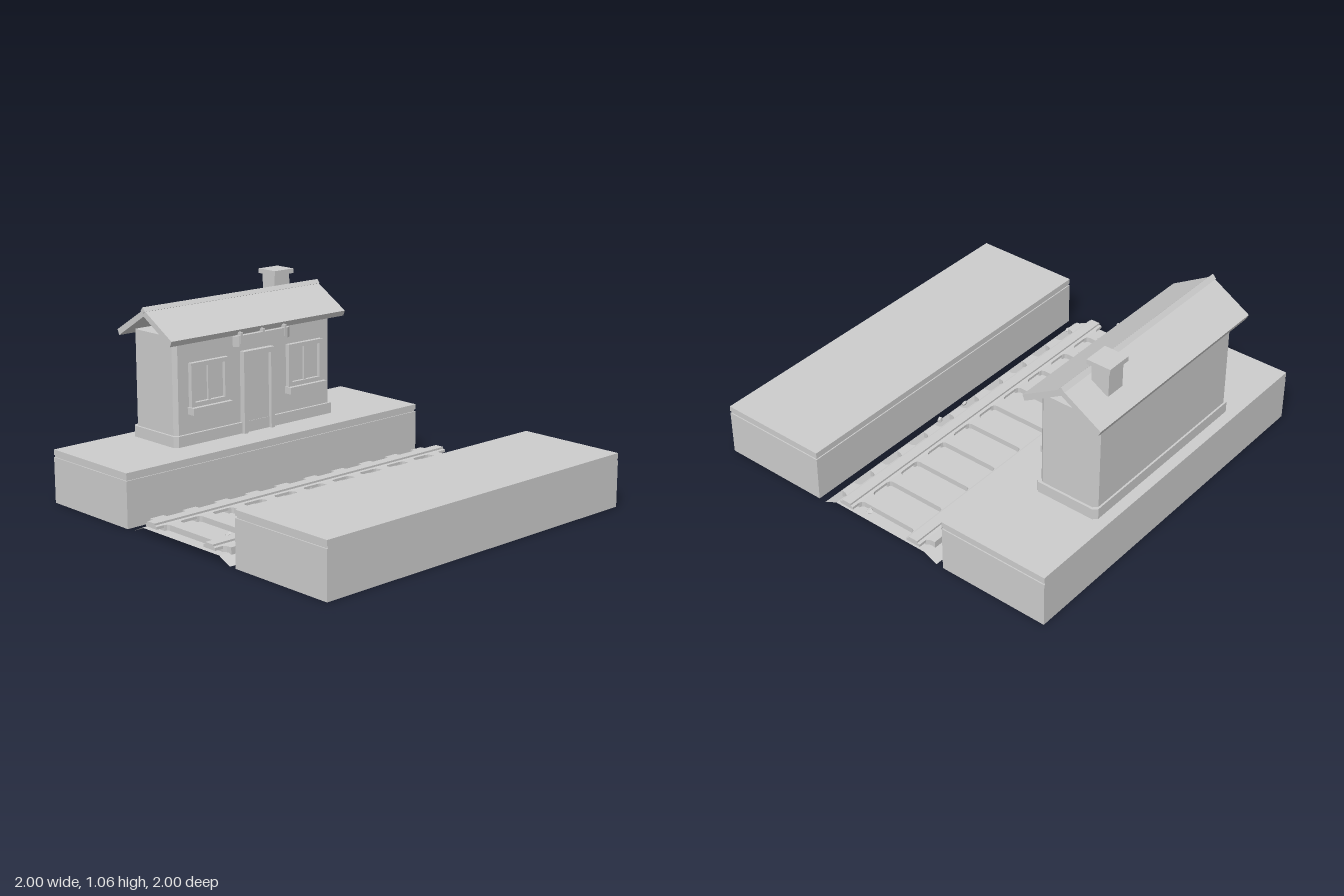
import * as THREE from 'three';

export function createModel() {
  const root = new THREE.Group();
  root.name = 'railwayHalt';
  const grey = new THREE.MeshStandardMaterial({ color: 0xcccccc });
  grey.name = 'plain grey';
  const greySheet = new THREE.MeshStandardMaterial({ color: 0xcccccc, side: THREE.DoubleSide });
  greySheet.name = 'plain grey sheet';

  const add = (name, geo, parent = root, mat = grey) => {
    const m = new THREE.Mesh(geo, mat);
    m.name = name;
    parent.add(m);
    return m;
  };
  const group = (name) => {
    const g = new THREE.Group();
    g.name = name;
    root.add(g);
    return g;
  };
  const box = (name, x0, x1, y0, y1, z0, z1, parent) => {
    const g = new THREE.BoxGeometry(x1 - x0, y1 - y0, z1 - z0);
    g.translate((x0 + x1) / 2, (y0 + y1) / 2, (z0 + z1) / 2);
    return add(name, g, parent);
  };
  // Section of [z, y] points swept along x
  const sweepX = (name, pts, x0, x1, parent) => {
    const s = new THREE.Shape(pts.map(([z, y]) => new THREE.Vector2(-z, y)));
    const g = new THREE.ExtrudeGeometry(s, { depth: x1 - x0, bevelEnabled: false });
    g.rotateY(Math.PI / 2).translate(x0, 0, 0);
    return add(name, g, parent);
  };
  // Plan of [x, z] points raised along y
  const raise = (name, pts, y0, y1, parent) => {
    const s = new THREE.Shape(pts.map(([x, z]) => new THREE.Vector2(x, -z)));
    const g = new THREE.ExtrudeGeometry(s, { depth: y1 - y0, bevelEnabled: false });
    g.rotateX(-Math.PI / 2).translate(0, y0, 0);
    return add(name, g, parent);
  };
  const chamfered = (x, z0, z1, c) => [
    [-x + c, z0], [x - c, z0], [x, z0 + c], [x, z1 - c],
    [x - c, z1], [-x + c, z1], [-x, z1 - c], [-x, z0 + c]];

  // Platforms, with a fine groove below the top slab
  for (const s of [-1, 1]) {
    const p = group(s < 0 ? 'backPlatform' : 'frontPlatform');
    const z = (inner, outer) => (s < 0 ? [-outer, -inner] : [inner, outer]);
    box('platformBase', -1, 1, 0, 0.24, ...z(0.4, 1), p);
    box('platformGroove', -0.994, 0.994, 0.24, 0.252, ...z(0.406, 1), p);
    box('platformSlab', -1, 1, 0.252, 0.28, ...z(0.4, 1), p);
  }

  // Ballast: an open sheet with sloping sides
  const track = group('track');
  const section = [[-0.36, 0], [-0.285, 0.035], [0.285, 0.035], [0.36, 0]];
  const pos = [];
  for (let i = 0; i < 3; i++) {
    const [za, ya] = section[i], [zb, yb] = section[i + 1];
    pos.push(-1, ya, za, -1, yb, zb, 1, yb, zb, -1, ya, za, 1, yb, zb, 1, ya, za);
  }
  const ballast = new THREE.BufferGeometry();
  ballast.setAttribute('position', new THREE.Float32BufferAttribute(pos, 3));
  ballast.computeVertexNormals();
  add('ballast', ballast, track, greySheet);

  // Sleepers, broader under the rails
  const edge = [[0.04, 0.3], [0.043, 0.275], [0.055, 0.255], [0.055, 0.172], [0.042, 0.168], [0.035, 0.155]];
  const side = [...edge, ...edge.map(([x, z]) => [x, -z]).reverse()];
  const plan = [...side, ...side.map(([x, z]) => [-x, z]).reverse()];
  for (let i = 0; i < 10; i++) {
    raise('sleeper', plan, 0.026, 0.064, track).position.x = -0.9 + i * 0.2;
  }

  // Rails: flat foot and narrower head
  for (const s of [-1, 1]) {
    const half = [[0.042, 0.05], [0.042, 0.064], [0.027, 0.067], [0.027, 0.077]];
    const profile = [...half, ...half.map(([z, y]) => [-z, y]).reverse()];
    sweepX(s < 0 ? 'backRail' : 'frontRail', profile.map(([z, y]) => [z + s * 0.215, y]), -1, 1, track);
  }

  // Loose stones
  const stones = [[0.06, -0.31], [0.12, -0.32], [0.26, -0.33], [0.53, -0.31], [0.68, -0.31], [0, -0.18],
    [-0.21, -0.1], [-0.78, 0.09], [0.95, 0.11], [-0.9, 0.33], [-0.02, 0.335], [0.17, 0.34]];
  stones.forEach(([x, z], i) => {
    const m = add('stone', new THREE.DodecahedronGeometry(0.014 + (i % 3) * 0.003, 0), track);
    m.position.set(x, Math.abs(z) > 0.285 ? 0.022 : 0.04, z);
    m.rotation.set(i, i * 1.7, i * 0.6);
    m.scale.y = 0.6;
  });

  // Station house body
  const house = group('stationHouse');
  raise('walls', chamfered(0.535, -0.932, -0.6, 0.02), 0.28, 0.845, house);
  raise('plinth', chamfered(0.548, -0.942, -0.585, 0.02), 0.28, 0.338, house);

  // Pitched roof with open gables and a ridge cap
  sweepX('roof', [[-0.545, 0.842], [-0.765, 0.973], [-0.985, 0.842], [-0.972, 0.813],
    [-0.765, 0.938], [-0.558, 0.813]], -0.593, 0.593, house);
  sweepX('ridgeCap', [[-0.747, 0.965], [-0.765, 0.986], [-0.784, 0.965], [-0.765, 0.955]], -0.597, 0.597, house);

  // Chimney
  box('chimney', 0.32, 0.425, 0.9, 1.035, -0.9, -0.803, house);
  box('chimneyCap', 0.305, 0.44, 1.035, 1.06, -0.915, -0.785, house);

  // Door in its frame
  box('door', -0.088, 0.088, 0.28, 0.69, -0.601, -0.588, house);
  for (const s of [-1, 1]) {
    box('doorJamb', s * 0.093 - 0.012, s * 0.093 + 0.012, 0.28, 0.715, -0.601, -0.567, house);
  }
  box('doorLintel', -0.105, 0.105, 0.688, 0.715, -0.601, -0.567, house);

  // Windows with frames, centre bars and sills
  for (const cx of [-0.325, 0.335]) {
    box('windowPane', cx - 0.11, cx + 0.11, 0.48, 0.695, -0.601, -0.594, house);
    for (const s of [-1, 1]) {
      box('windowStile', cx + s * 0.11 - 0.012, cx + s * 0.11 + 0.012, 0.475, 0.705, -0.601, -0.575, house);
    }
    box('windowHead', cx - 0.12, cx + 0.12, 0.683, 0.705, -0.601, -0.575, house);
    box('windowFoot', cx - 0.12, cx + 0.12, 0.475, 0.5, -0.601, -0.575, house);
    box('windowBar', cx - 0.008, cx + 0.008, 0.49, 0.69, -0.601, -0.583, house);
    box('windowSill', cx - 0.13, cx + 0.13, 0.44, 0.477, -0.601, -0.552, house);
  }

  // Blank board hanging under the front eave
  raise('signBoard', [[-0.19, -0.555], [0.19, -0.555], [0.19, -0.545], [0.165, -0.532],
    [-0.165, -0.532], [-0.19, -0.545]].reverse(), 0.757, 0.812, house);
  for (const x of [-0.15, 0, 0.15]) {
    box('signBracket', x - 0.006, x + 0.006, 0.77, 0.83, -0.57, -0.529, house);
  }
  return root;
}
